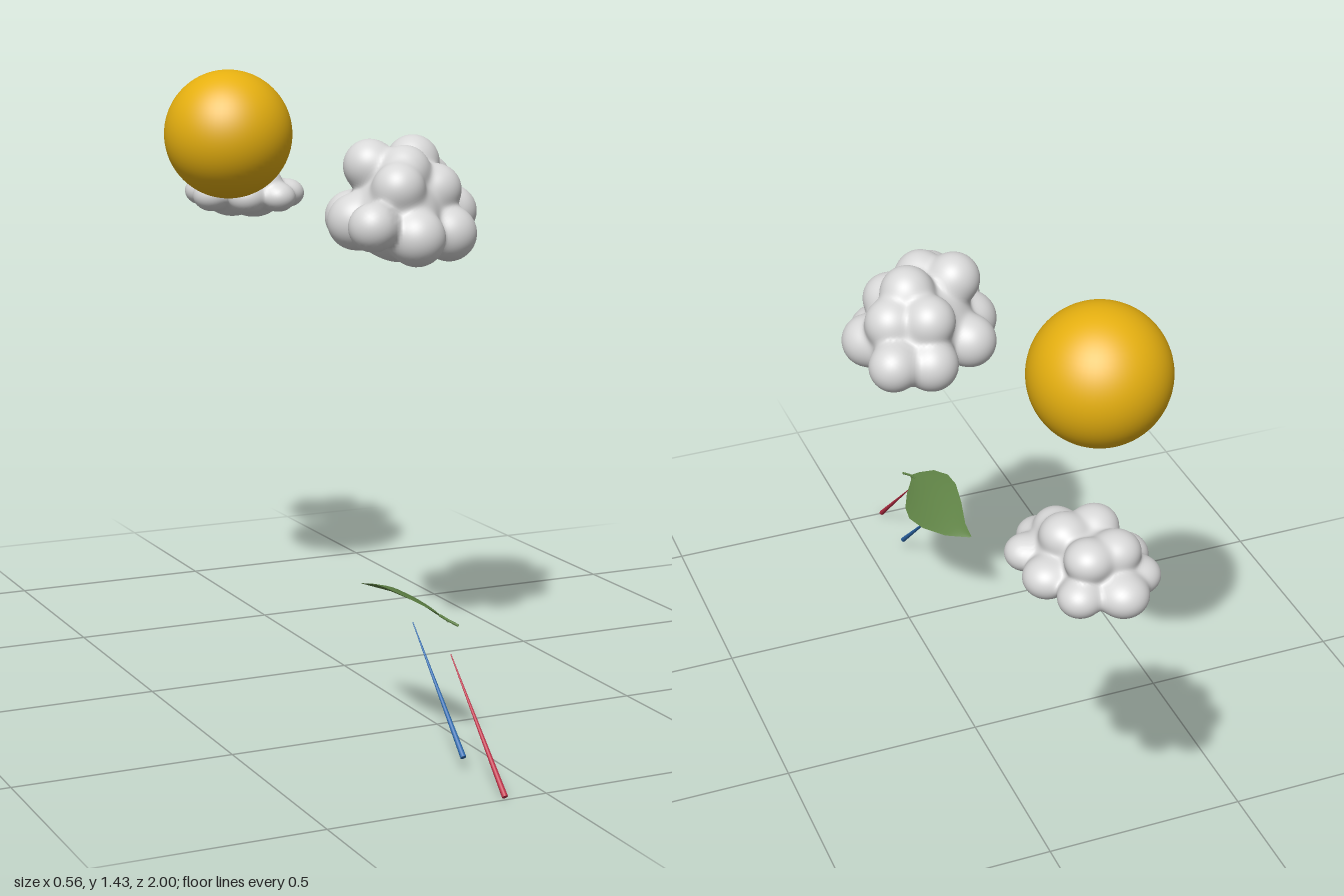
import * as THREE from 'three';
import { mergeVertices } from 'three/addons/utils/BufferGeometryUtils.js';

const mat = (name, color, side = THREE.FrontSide) => {
  const m = new THREE.MeshStandardMaterial({ color, side });
  m.name = name;
  return m;
};

// Puffy shell: a fine ball whose points are pulled onto the blended skin of many lumps [x, y, z, radius]
function cloudGeometry(centre, lumps, squash) {
  const blend = 0.007;
  const field = (x, y, z) => {
    let sum = 0;
    for (const [a, b, c, r] of lumps) {
      sum += Math.exp((r - Math.hypot(x - a, (y - b) / squash, z - c)) / blend);
    }
    return sum - 1;
  };
  let geo = new THREE.IcosahedronGeometry(1, 30);
  geo.deleteAttribute('normal');
  geo.deleteAttribute('uv');
  geo = mergeVertices(geo, 1e-4);
  const pos = geo.attributes.position;
  const d = new THREE.Vector3();
  const [cx, cy, cz] = centre;
  for (let i = 0; i < pos.count; i++) {
    d.fromBufferAttribute(pos, i).normalize();
    const at = (t) => field(cx + d.x * t, cy + d.y * t, cz + d.z * t);
    let t = 0.4;
    while (t > 0.02 && at(t) < 0) t -= 0.008;
    let lo = t, hi = t + 0.008;
    for (let k = 0; k < 10; k++) {
      const mid = (lo + hi) / 2;
      if (at(mid) > 0) lo = mid; else hi = mid;
    }
    pos.setXYZ(i, cx + d.x * lo, cy + d.y * lo, cz + d.z * lo);
  }
  geo.computeVertexNormals();
  return geo;
}

// Leaf blade lofted across its width from the left edge to the right edge
function leafGeometry() {
  // z, left x, left y, right x, right y
  const rows = [
    [0.378, -0.135, 0.315, -0.13, 0.313],
    [0.425, -0.136, 0.325, -0.08, 0.301],
    [0.5, -0.153, 0.343, -0.043, 0.286],
    [0.57, -0.164, 0.354, -0.031, 0.274],
    [0.62, -0.16, 0.354, -0.037, 0.275],
    [0.67, -0.138, 0.343, -0.06, 0.287],
    [0.7, -0.107, 0.325, -0.083, 0.305],
    [0.712, -0.092, 0.314, -0.086, 0.308],
  ];
  const n = 8, verts = [], index = [];
  rows.forEach(([z, lx, ly, rx, ry], i) => {
    for (let j = 0; j <= n; j++) {
      const u = j / n;
      const bow = 0.1 * (rx - lx) * 4 * u * (1 - u);
      verts.push(lx + (rx - lx) * u, ly + (ry - ly) * u + bow, z);
      if (i && j) {
        const b = i * (n + 1) + j, a = b - n - 1;
        index.push(a - 1, b - 1, b, a - 1, b, a);
      }
    }
  });
  const geo = new THREE.BufferGeometry();
  geo.setAttribute('position', new THREE.Float32BufferAttribute(verts, 3));
  geo.setIndex(index);
  geo.computeVertexNormals();
  return geo;
}

export function createModel() {
  const group = new THREE.Group();
  const gold = mat('gold', 0xe6b010);
  const white = mat('cloudGrey', 0xd8d8d8);
  const green = mat('leafGreen', 0x5f8245, THREE.DoubleSide);
  const red = mat('red', 0xc03048);
  const blue = mat('blue', 0x2f6cb0);
  const add = (name, geo, material) => {
    const mesh = new THREE.Mesh(geo, material);
    mesh.name = name;
    group.add(mesh);
    return mesh;
  };

  // Sun
  add('sun', new THREE.SphereGeometry(0.16, 64, 40), gold).position.set(-0.12, 1.272, -0.43);

  // Front cloud: core, lower ring, upper puffs
  add('frontCloud', cloudGeometry([0.08, 1.13, 0.14], [
    [0.08, 1.13, 0.14, 0.12], [0.04, 1.12, 0.2, 0.1], [0.13, 1.12, 0.08, 0.1],
    [0.11, 1.11, -0.01, 0.062], [0.2, 1.12, -0.005, 0.058], [0.215, 1.12, 0.13, 0.062],
    [0.16, 1.08, 0.23, 0.065], [0.05, 1.08, 0.285, 0.066], [-0.06, 1.11, 0.285, 0.057],
    [-0.045, 1.11, 0.16, 0.066], [-0.01, 1.11, 0.06, 0.062], [0.08, 1.08, 0.13, 0.066],
    [0.0, 1.235, 0.14, 0.062], [0.125, 1.238, 0.11, 0.063], [0.06, 1.225, 0.2, 0.06],
    [0.02, 1.19, 0.25, 0.06], [0.1, 1.2, 0.03, 0.06], [0.18, 1.19, 0.07, 0.06],
    [0.14, 1.18, 0.2, 0.06],
  ], 1), white);

  // Back cloud: smaller and flatter
  add('backCloud', cloudGeometry([0.075, 1.095, -0.82], [
    [0.06, 1.09, -0.85, 0.085], [0.09, 1.09, -0.77, 0.08],
    [0.045, 1.08, -0.942, 0.053], [0.13, 1.08, -0.92, 0.046], [0.165, 1.08, -0.83, 0.05],
    [0.175, 1.085, -0.74, 0.044], [0.125, 1.08, -0.685, 0.045], [0.045, 1.08, -0.71, 0.05],
    [-0.015, 1.08, -0.81, 0.05], [-0.01, 1.085, -0.895, 0.045],
    [0.04, 1.145, -0.78, 0.05], [0.1, 1.145, -0.89, 0.05], [0.035, 1.145, -0.88, 0.05],
    [0.11, 1.145, -0.79, 0.052], [0.1, 1.12, -0.72, 0.045],
  ], 0.85), white);

  // Leaf and its stem
  add('leaf', leafGeometry(), green);
  const stemPath = new THREE.CatmullRomCurve3([
    new THREE.Vector3(-0.092, 0.314, 0.69),
    new THREE.Vector3(-0.087, 0.31, 0.715),
    new THREE.Vector3(-0.075, 0.303, 0.743),
  ]);
  add('leafStem', new THREE.TubeGeometry(stemPath, 8, 0.003, 8), green);

  // Slanted needles, blunt at the foot and pointed at the top
  const needle = (name, material, y0, z0, y1, z1) => {
    const from = new THREE.Vector3(-0.095, y0, z0), to = new THREE.Vector3(-0.095, y1, z1);
    const dir = to.clone().sub(from);
    const mesh = add(name, new THREE.CylinderGeometry(0.001, 0.0065, dir.length(), 16), material);
    mesh.position.copy(from).lerp(to, 0.5);
    mesh.quaternion.setFromUnitVectors(new THREE.Vector3(0, 1, 0), dir.normalize());
  };
  needle('redNeedle', red, 0.005, 0.996, 0.243, 0.748);
  needle('blueNeedle', blue, 0.032, 0.81, 0.267, 0.565);

  return group;
}
